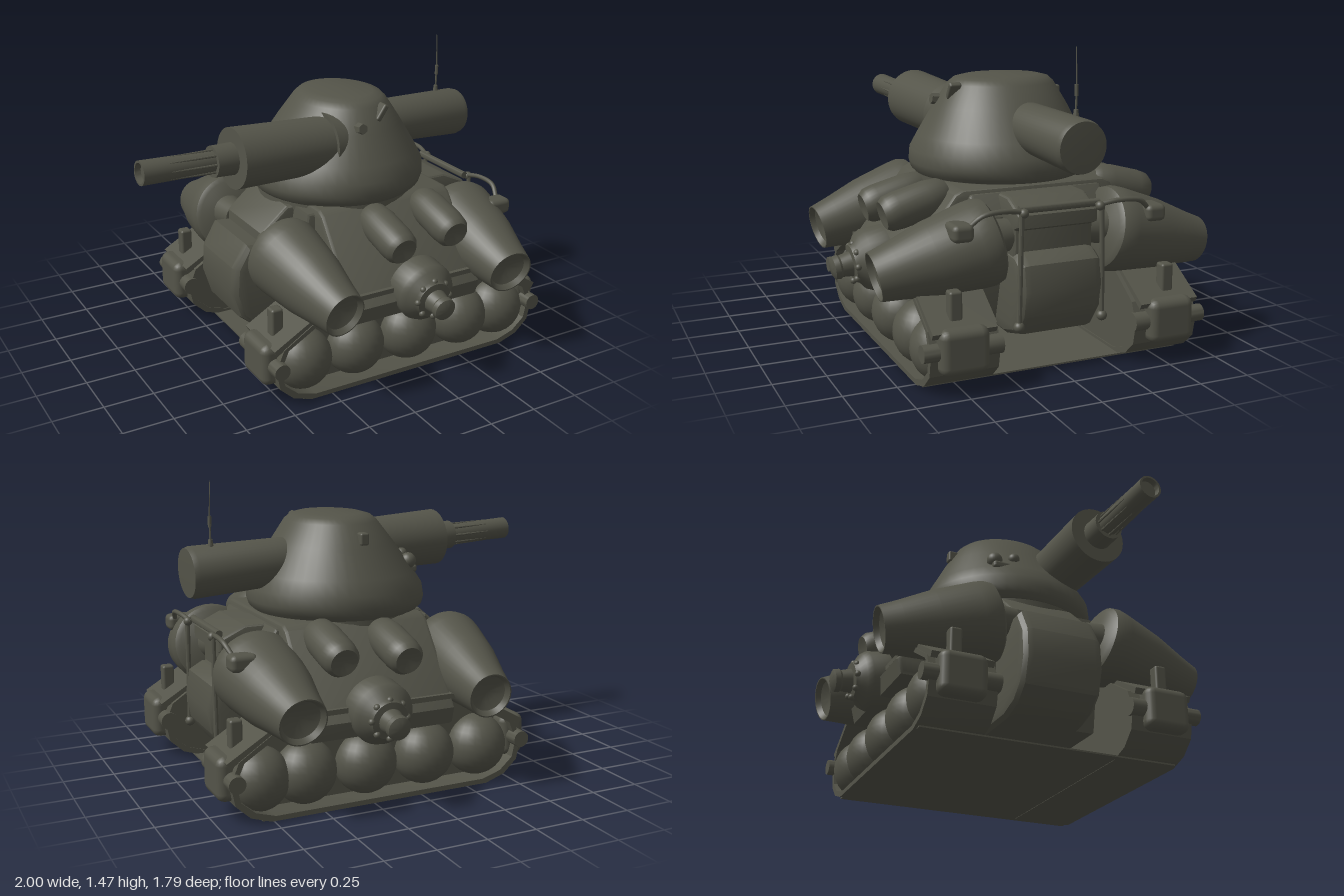
import * as THREE from 'three';
import { toCreasedNormals } from 'three/addons/utils/BufferGeometryUtils.js';
import { RoundedBoxGeometry } from 'three/addons/geometries/RoundedBoxGeometry.js';

const olive = new THREE.MeshStandardMaterial({ color: 0x545449 });
olive.name = 'olive drab';
const V = (x, y, z) => new THREE.Vector3(x, y, z);
const UP = V(0, 1, 0);

export function createModel() {
  const model = new THREE.Group();
  model.name = 'tank';

  const add = (name, geo, x = 0, y = 0, z = 0) => {
    const m = new THREE.Mesh(geo, olive);
    m.name = name;
    m.position.set(x, y, z);
    model.add(m);
    return m;
  };
  const lathe = (profile, seg) =>
    new THREE.LatheGeometry(profile.map(([r, d]) => new THREE.Vector2(r, d)), seg);
  // Turned part: profile of [radius, distance] along the line from a towards b
  const turned = (name, profile, a, b, seg = 32) => {
    const m = add(name, toCreasedNormals(lathe(profile, seg), 0.6));
    m.position.copy(a);
    m.quaternion.setFromUnitVectors(UP, b.clone().sub(a).normalize());
    return m;
  };
  const rod = (name, a, b, r0, r1 = r0, seg = 24) => {
    const l = a.distanceTo(b);
    return turned(name, [[0, 0], [r0, 0], [r1, l], [0, l]], a, b, seg);
  };
  const box = (name, w, h, d, x, y, z, r = 0.015) =>
    add(name, new RoundedBoxGeometry(w, h, d, 2, r), x, y, z);
  const ball = (name, r, x, y, z) => add(name, new THREE.SphereGeometry(r, 24, 16), x, y, z);
  const toPoints = (outline) => outline.map(([x, y]) => new THREE.Vector2(x, y));
  // Side outline in x and y, extruded across z, with an optional hole
  const slab = (name, outline, z0, z1, bevel = 0.02, hole = null) => {
    const shape = new THREE.Shape(toPoints(outline));
    if (hole) shape.holes.push(new THREE.Path(toPoints(hole)));
    const geo = new THREE.ExtrudeGeometry(shape, {
      depth: z1 - z0 - 2 * bevel, bevelEnabled: bevel > 0, bevelSize: bevel,
      bevelThickness: bevel, bevelOffset: -bevel, bevelSegments: 3,
    });
    return add(name, toCreasedNormals(geo, 0.5), 0, 0, z0 + bevel);
  };

  // Hull: central tub, rounded spine and wide sloped casemate
  slab('hullTub', [[-0.18, 0.19], [0.6, 0.19], [0.66, 0.42], [0.66, 0.7], [0.6, 0.8],
    [-0.2, 0.8], [-0.22, 0.68], [-0.22, 0.42]], -0.34, 0.34);
  slab('lowerSpine', [[-0.3, 0.145], [0.68, 0.145], [0.8, 0.18], [0.87, 0.28], [0.89, 0.4], [0.87, 0.52],
    [0.8, 0.56], [-0.46, 0.64], [-0.53, 0.52], [-0.54, 0.38], [-0.5, 0.25], [-0.42, 0.18]], -0.21, 0.21, 0.05);
  slab('upperSpine', [[-0.4, 0.5], [0.78, 0.5], [0.78, 0.66], [0.83, 0.68], [0.83, 0.74], [0.7, 0.8],
    [-0.24, 0.8], [-0.38, 0.68]], -0.2, 0.2);
  const section = new THREE.Shape(toPoints([[-0.67, 0.34], [0.67, 0.34], [0.69, 0.42], [0.4, 0.8], [0.36, 0.82],
    [-0.36, 0.82], [-0.4, 0.8], [-0.69, 0.42]]));
  const casemate = add('casemate', toCreasedNormals(new THREE.ExtrudeGeometry(section, {
    depth: 0.71, bevelEnabled: true, bevelSize: 0.02, bevelThickness: 0.02, bevelOffset: -0.02, bevelSegments: 2,
  }), 0.5), -0.145, 0, 0);
  casemate.rotation.y = Math.PI / 2;

  // Rear crossbar and turret ring
  rod('rearCrossbar', V(0.83, 0.77, -0.2), V(0.83, 0.77, 0.2), 0.018);
  rod('turretRing', V(0.15, 0.78, 0), V(0.15, 0.84, 0), 0.41, 0.41, 48);

  // Belly plate spanning the tracks
  add('bellyPlate', new THREE.BoxGeometry(1.2, 0.008, 1.3), 0.2, 0.008, 0);

  // Track outline, and the same outline pulled inwards
  const belt = [[-0.36, 0.002], [0.76, 0.002], [0.86, 0.035], [0.93, 0.1], [0.95, 0.2], [0.91, 0.3], [0.64, 0.48],
    [-0.22, 0.48], [-0.51, 0.3], [-0.55, 0.2], [-0.53, 0.1], [-0.46, 0.035]];
  const inner = belt.map(([x, y]) => [0.2 + (x - 0.2) * 0.965, 0.24 + (y - 0.24) * 0.9]);

  for (const s of [1, -1]) {
    const span = (a, b) => (s > 0 ? [a, b] : [-b, -a]);
    // Track belt around a recessed core
    slab('trackBelt', belt, ...span(0.34, 0.665), 0, inner);
    slab('trackCore', inner, ...span(0.345, 0.54), 0);
    // Upper track guards running down to both ends
    for (const [x0, x1] of [[-0.2, -0.55], [0.62, 0.95]]) {
      const guard = add('trackGuard', new THREE.BoxGeometry(0.4, 0.03, 0.3), (x0 + x1) / 2, 0.39, s * 0.51);
      guard.rotation.z = Math.atan2(-0.2, x1 - x0) + (x1 < x0 ? Math.PI : 0);
    }
    // Domed road wheels
    for (const x of [-0.36, -0.065, 0.245, 0.555, 0.785]) {
      const wheel = ball('roadWheel', 0.153, x, 0.173, s * 0.55);
      wheel.scale.z = 0.95;
    }
    // End rollers with axle caps and mounting posts
    for (const [x, e] of [[-0.535, -1], [0.93, 1]]) {
      box('endRoller', 0.13, 0.21, 0.23, x, 0.21, s * 0.515, 0.04);
      rod('rollerAxle', V(x, 0.21, s * 0.33), V(x, 0.21, s * 0.7), 0.045, 0.04);
      box('rollerPost', 0.06, 0.16, 0.06, x - e * 0.05, 0.38, s * 0.53, 0.012);
    }
    // Four tapered shoulder pods with shallow dished nozzles
    for (const [xa, xb, w] of [[-0.33, -0.275, 0.93], [0.7, 0.667, 1.03]]) {
      const pod = turned('shoulderPod', [[0, 0], [0.17, 0], [0.193, 0.015], [0.203, 0.05], [0.2, 0.1], [0.172, 0.3],
        [0.132, 0.47], [0.113, 0.565], [0.107, 0.565], [0.09, 0.54], [0.05, 0.525], [0, 0.52]],
        V(xa, 0.615, s * 0.27), V(xb, 0.49, s * 0.83), 36);
      pod.scale.x = w;
      rod('podNeck', V(xa, 0.63, s * 0.17), V(xa, 0.62, s * 0.3), 0.07, 0.09);
    }
    // Small capped tubes on the sloped flanks
    for (const [x, y] of [[s > 0 ? 0.12 : 0.09, 0], [0.415, 0.025]]) {
      turned('flankTube', [[0, 0], [0.06, 0], [0.08, 0.03], [0.09, 0.1], [0.09, 0.25], [0.084, 0.3],
        [0.066, 0.325], [0.045, 0.32], [0, 0.31]], V(x, 0.757 + y, s * 0.38), V(x, 0.672 + y, s * 0.7));
    }
    // Flank hub with bolts and a stepped nose
    turned('flankHub', [[0, 0], [0.15, 0], [0.15, 0.1], [0.135, 0.13], [0.1, 0.155], [0.09, 0.175], [0.06, 0.18],
      [0.052, 0.23], [0.058, 0.24], [0.055, 0.265], [0.035, 0.275], [0, 0.278]],
      V(0.235, 0.46, s * 0.62), V(0.235, 0.42, s * 0.9));
    for (let i = 0; i < 8; i++) {
      const t = (i / 8) * Math.PI * 2;
      ball('hubBolt', 0.016, 0.235 + Math.cos(t) * 0.09, 0.44 + Math.sin(t) * 0.09, s * 0.785);
    }
    // Rear lamp on its curved cable, with a side pipe
    const path = new THREE.CatmullRomCurve3([V(0.85, 0.76, s * 0.17), V(0.87, 0.78, s * 0.28),
      V(0.87, 0.77, s * 0.39), V(0.85, 0.72, s * 0.45)]);
    add('lampCable', new THREE.TubeGeometry(path, 20, 0.012, 8));
    box('rearLamp', 0.13, 0.08, 0.1, 0.82, 0.7, s * 0.48, 0.025);
    ball('cableJoint', 0.022, 0.86, 0.76, s * 0.19);
    rod('rearPipe', V(0.86, 0.76, s * 0.2), V(0.86, 0.24, s * 0.21), 0.012, 0.012, 10);
    ball('pipeEnd', 0.025, 0.86, 0.24, s * 0.21);
  }

  // Turret dome, narrowing more along its length than across
  const dome = lathe([[0, 0], [0.41, 0], [0.437, 0.025], [0.448, 0.06], [0.445, 0.12], [0.41, 0.19], [0.335, 0.33],
    [0.268, 0.44], [0.24, 0.465], [0.19, 0.477], [0, 0.485]], 48);
  const p = dome.attributes.position;
  for (let i = 0; i < p.count; i++) {
    const h = p.getY(i) / 0.485;
    p.setX(i, p.getX(i) * (1 - 0.2 * h * h) + 0.03 * h);
  }
  add('turret', toCreasedNormals(dome, 0.6), 0.145, 0.815, -0.005);

  // Main gun, stepping down to the muzzle
  const at = (x) => V(x, 1.09 - (x + 0.3) * 0.04, 0.185 - (x + 0.3) * 0.055);
  rod('gunMantlet', at(-0.03), at(0.22), 0.158, 0.13, 40);
  rod('gunSleeve', at(0.15), at(-0.53), 0.135, 0.148, 40);
  rod('gunCollar', at(-0.5), at(-0.635), 0.078, 0.075, 32);
  turned('gunMuzzle', [[0, 0], [0.054, 0], [0.058, 0.378], [0.048, 0.378], [0.045, 0.35], [0, 0.35]],
    at(-0.62), at(-0.998), 28);
  // Thin rods around the muzzle
  for (let i = 0; i < 8; i++) {
    const t = (i / 8) * Math.PI * 2;
    const off = (q, r) => q.add(V(0, Math.cos(t) * r, Math.sin(t) * r));
    rod('muzzleRod', off(at(-0.62), 0.056), off(at(-0.86), 0.054), 0.007, 0.004, 8);
  }

  // Rear counterweight tube
  turned('counterweight', [[0, 0], [0.115, 0], [0.125, 0.55], [0.118, 0.575], [0, 0.58]],
    V(0.36, 1.07, -0.03), V(0.94, 1.045, -0.06), 40);

  // Whip antenna
  rod('antennaBase', V(0.82, 1.15, -0.08), V(0.82, 1.2, -0.08), 0.016, 0.01, 12);
  rod('antennaStem', V(0.82, 1.19, -0.08), V(0.822, 1.29, -0.08), 0.005, 0.005, 8);
  rod('antennaJoint', V(0.821, 1.26, -0.08), V(0.822, 1.31, -0.08), 0.009, 0.009, 10);
  rod('antennaWhip', V(0.822, 1.3, -0.08), V(0.815, 1.475, -0.08), 0.004, 0.002, 8);

  // Turret fittings
  rod('frontPort', V(0.105, 1.17, 0.27), V(0.105, 1.18, 0.335), 0.03, 0.026, 6);
  const fin = box('frontFin', 0.03, 0.09, 0.06, 0.24, 1.23, 0.27, 0.01);
  fin.rotation.z = -0.6;
  box('backPort', 0.045, 0.06, 0.06, 0.14, 1.19, -0.31, 0.01);
  ball('sensorLarge', 0.04, -0.165, 1.05, -0.2);
  ball('sensorSmall', 0.03, -0.18, 1.07, -0.1);
  box('sensorMount', 0.08, 0.04, 0.14, -0.17, 1.01, -0.15);

  return model;
}
